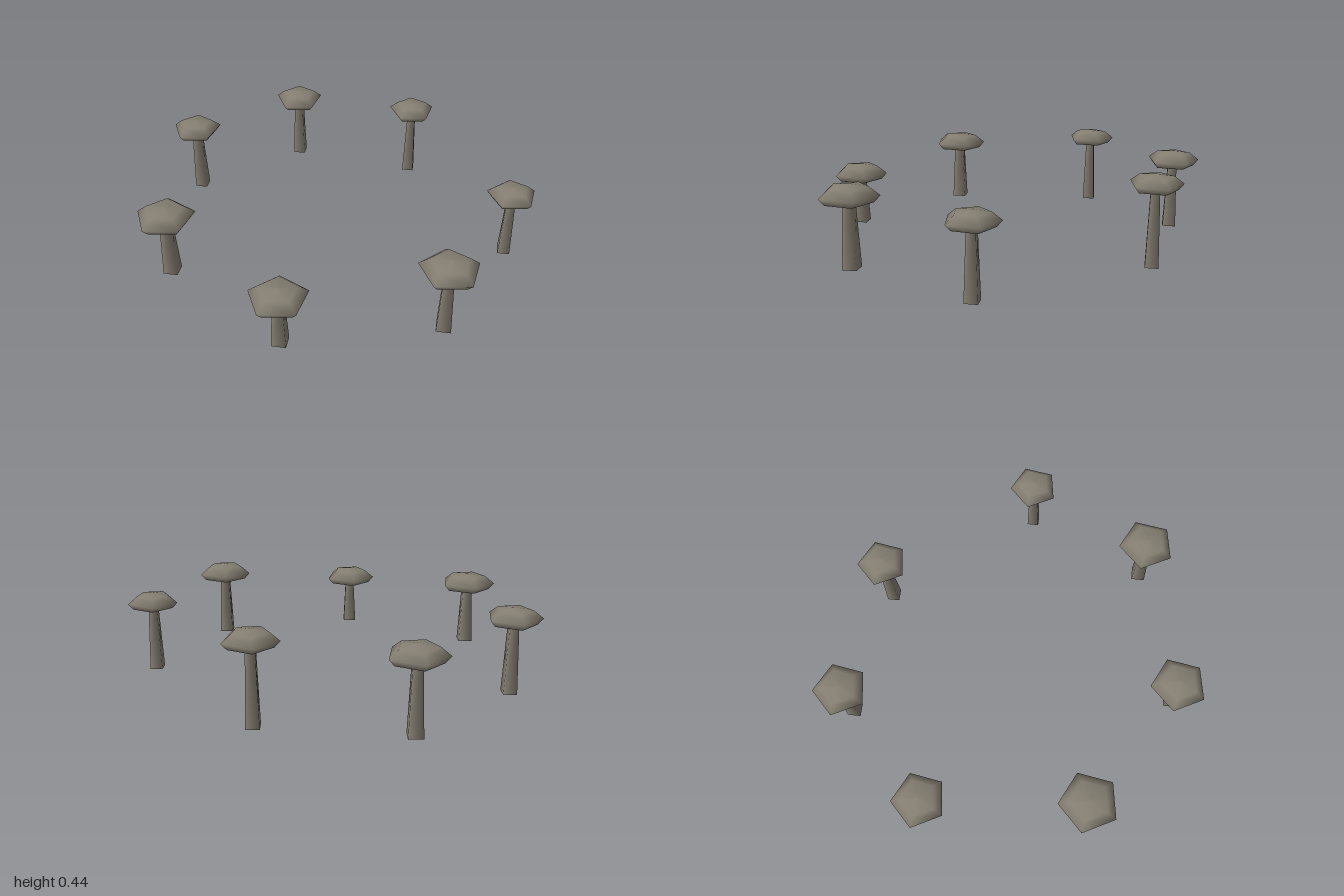
import * as THREE from 'three';

// x, z, cap radius, total height
const MUSHROOMS = [
  [0.85, -0.05, 0.146, 0.405],
  [0.604, -0.70, 0.127, 0.40],
  [-0.315, -0.82, 0.13, 0.445],
  [-0.873, -0.40, 0.139, 0.415],
  [-0.891, 0.288, 0.135, 0.425],
  [-0.269, 0.795, 0.15, 0.392],
  [0.482, 0.624, 0.145, 0.326],
];

// cap profile from lower rim to crown: radius and height, in cap radii
const CAP = [[0.8, -0.59], [1, -0.36], [0.66, -0.09], [0, 0]];

export function createModel() {
  const root = new THREE.Group();
  root.name = 'mushroomRing';
  const stone = new THREE.MeshStandardMaterial({ color: 0x857f72 });
  stone.name = 'grey brown';

  const add = (group, name, geometry, y) => {
    const mesh = new THREE.Mesh(geometry, stone);
    mesh.name = name;
    mesh.position.y = y;
    group.add(mesh);
  };

  for (const [x, z, r, top] of MUSHROOMS) {
    const mushroom = new THREE.Group();
    mushroom.name = 'mushroom';
    mushroom.position.set(x, 0, z);

    // four-sided tapered stem, reaching up into the cap
    const h = top - 0.5 * r;
    add(mushroom, 'stem', new THREE.CylinderGeometry(0.225 * r, 0.345 * r, h, 4), h / 2);

    // five-sided cap with one corner towards +x
    const profile = CAP.map(([pr, py]) => new THREE.Vector2(pr * r, py * r));
    add(mushroom, 'cap', new THREE.LatheGeometry(profile, 5).rotateY(Math.PI / 2), top);

    // flat underside of the cap
    add(mushroom, 'capUnderside',
      new THREE.CircleGeometry(CAP[0][0] * r, 5).rotateX(Math.PI / 2), top + CAP[0][1] * r);

    root.add(mushroom);
  }
  return root;
}
